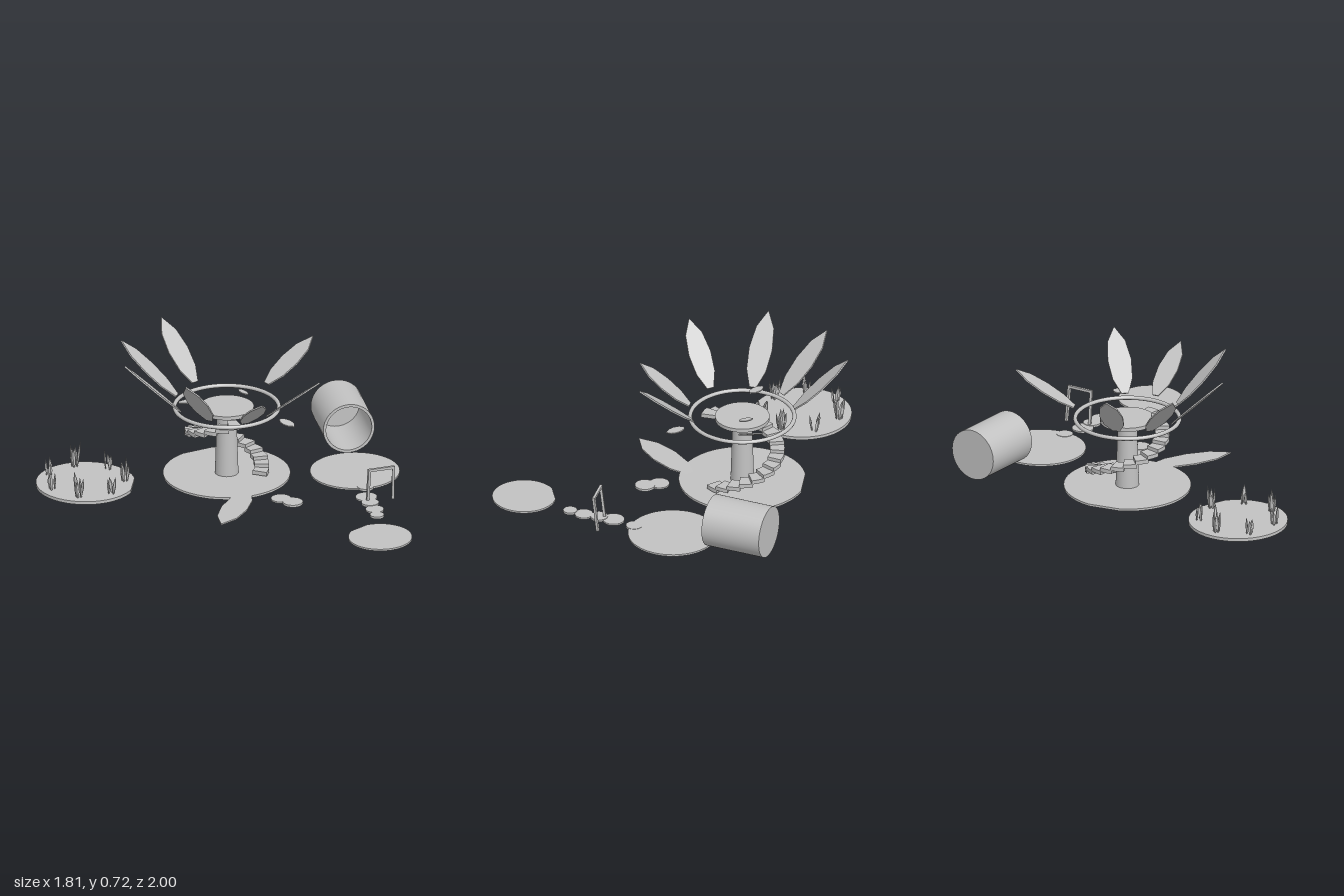
import * as THREE from 'three';
import { toCreasedNormals } from 'three/addons/utils/BufferGeometryUtils.js';

const grey = new THREE.MeshStandardMaterial({ color: 0xc2c2c2 });
grey.name = 'plain grey';
const V = (x, y, z) => new THREE.Vector3(x, y, z);
const rad = THREE.MathUtils.degToRad;

export function createModel() {
  const root = new THREE.Group();
  root.name = 'lilyPadPark';

  function add(name, geo, x = 0, y = 0, z = 0, parent = root) {
    const mesh = new THREE.Mesh(geo, grey);
    mesh.name = name;
    mesh.position.set(x, y, z);
    parent.add(mesh);
    return mesh;
  }

  // Flat sector of a ring or disc, lying on y = 0; angles run from +x towards -z
  function sector(r0, r1, from, to, height, segments) {
    const s = new THREE.Shape();
    if (r0 > 0) {
      s.absarc(0, 0, r1, rad(from), rad(to), false);
      s.absarc(0, 0, r0, rad(to), rad(from), true);
    } else {
      s.moveTo(0, 0);
      s.absarc(0, 0, r1, rad(from), rad(to), false);
    }
    const geo = new THREE.ExtrudeGeometry(s, { depth: height, bevelEnabled: false, curveSegments: segments });
    return geo.rotateX(-Math.PI / 2);
  }

  // Pointed leaf plate running from base to tip
  function leaf(name, base, tip, width, thick = 0.008, parent = root) {
    const dir = tip.clone().sub(base);
    const len = dir.length();
    const half = [[0.15, 0], [0.42, 0.22], [0.5, 0.5], [0.38, 0.78]];
    const pts = [
      ...half.map(([a, b]) => new THREE.Vector2(a * width, b * len)),
      new THREE.Vector2(0, len),
      ...half.slice().reverse().map(([a, b]) => new THREE.Vector2(-a * width, b * len)),
    ];
    const geo = new THREE.ExtrudeGeometry(new THREE.Shape(pts), { depth: thick, bevelEnabled: false });
    geo.translate(0, 0, -thick / 2);
    const yAxis = dir.normalize();
    const xAxis = yAxis.clone().cross(V(0, 1, 0)).normalize();
    const zAxis = xAxis.clone().cross(yAxis);
    geo.applyMatrix4(new THREE.Matrix4().makeBasis(xAxis, yAxis, zAxis));
    return add(name, geo, base.x, base.y, base.z, parent);
  }

  // Square bar between two points
  function bar(name, a, b, w, parent) {
    const geo = new THREE.BoxGeometry(w, w, a.distanceTo(b) + w);
    const mid = a.clone().add(b).multiplyScalar(0.5);
    const m = add(name, geo, mid.x, mid.y, mid.z, parent);
    m.lookAt(b);
  }

  // Lily pads: three notched, one whole
  add('reedPad', sector(0, 0.26, -34, 292, 0.017, 48), -0.645, 0, -0.745);
  add('treePad', sector(0, 0.333, 89, 419, 0.012, 48), -0.02, 0, -0.33);
  add('frontPad', sector(0, 0.167, 110, 430, 0.01, 40), -0.02, 0, 0.825);
  add('barrelPad', new THREE.CylinderGeometry(0.235, 0.235, 0.01, 48), 0.48, 0.005, 0.117);

  // Stepping stones [x, z, radius]
  [[-0.045, 0.105, 0.053], [-0.035, 0.183, 0.053], [0.37, 0.265, 0.043], [0.375, 0.305, 0.043],
    [0.29, 0.4, 0.057], [0.25, 0.47, 0.046], [0.21, 0.545, 0.048], [0.165, 0.61, 0.037]]
    .forEach(([x, z, r], i) => {
      const h = 0.009 + (i % 2) * 0.003;
      add('steppingStone', new THREE.CylinderGeometry(r, r, h, 28), x, h / 2, z);
    });

  // Tower: stem, round deck and railing ring
  const tower = new THREE.Group();
  tower.name = 'tower';
  tower.position.set(-0.02, 0, -0.33);
  root.add(tower);
  add('stem', new THREE.CylinderGeometry(0.05, 0.062, 0.37, 32), 0, 0.19, 0, tower);
  add('deck', new THREE.CylinderGeometry(0.143, 0.143, 0.02, 40), 0, 0.38, 0, tower);
  const ring = new THREE.TorusGeometry(0.273, 0.011, 10, 64).rotateX(Math.PI / 2);
  add('railingRing', ring, 0, 0.386, 0, tower);

  // Spiral stair climbing from the front, round the model's left and back
  const steps = 18, sweep = 310 / steps;
  for (let i = 0; i < steps; i++) {
    const from = -65 + i * sweep;
    const y = 0.022 + (i / (steps - 1)) * 0.325;
    add('stairStep', sector(0.145, 0.222, from, from + sweep + 1.5, 0.022, 4), 0, y, 0, tower);
  }

  // Raised petals round the deck
  const petals = [
    [V(0.01, 0.43, -0.6), V(0.035, 0.705, -0.88), 0.125],
    [V(-0.16, 0.42, -0.56), V(-0.31, 0.695, -0.825), 0.125],
    [V(-0.27, 0.41, -0.425), V(-0.545, 0.705, -0.553), 0.125],
    [V(-0.27, 0.425, -0.2), V(-0.515, 0.712, -0.125), 0.125],
    [V(-0.14, 0.41, -0.07), V(-0.25, 0.62, 0.175), 0.115],
    [V(0.02, 0.41, -0.06), V(0.11, 0.66, 0.235), 0.125],
    [V(0.26, 0.435, -0.32), V(0.57, 0.62, -0.29), 0.125],
  ];
  petals.forEach(([a, b, w]) => leaf('petal', a, b, w));

  // Loose leaves near the deck and one lying on the ground
  leaf('groundLeaf', V(-0.12, 0.008, -0.07), V(-0.515, 0.012, 0.14), 0.14);
  leaf('smallDeckLeaf', V(0.1, 0.43, -0.295), V(0.1, 0.436, -0.368), 0.032, 0.006);
  leaf('smallRingLeaf', V(-0.235, 0.43, -0.47), V(-0.15, 0.445, -0.39), 0.05, 0.006);
  leaf('smallFrontLeaf', V(0.06, 0.39, -0.01), V(0.07, 0.375, 0.088), 0.06, 0.006);

  // Barrel lying on its side, open towards the front
  const L = 0.326, R = 0.137, Ri = 0.122;
  const profile = [[0, -L / 2], [R, -L / 2], [R, L / 2], [Ri, L / 2], [Ri, -L / 2 + 0.012], [0, -L / 2 + 0.012]]
    .map(([x, y]) => new THREE.Vector2(x, y));
  const barrel = add('barrel', toCreasedNormals(new THREE.LatheGeometry(profile, 48), 0.6), 0.704, 0.148, -0.206);
  barrel.quaternion.setFromUnitVectors(V(0, 1, 0), V(-0.536, 0, 0.844).normalize());

  // Gate over the stepping stones
  const gate = new THREE.Group();
  gate.name = 'gate';
  root.add(gate);
  const topA = V(0.252, 0.188, 0.462), topB = V(0.373, 0.188, 0.518);
  bar('gateBeam', topA, topB, 0.014, gate);
  bar('gatePost', topA, V(0.258, 0.007, 0.442), 0.014, gate);
  bar('gatePost', topB, V(0.386, 0.007, 0.5), 0.014, gate);

  // Reed clumps on the back pad [x, z, height]
  [[-0.725, -0.935, 0.12], [-0.55, -0.925, 0.168], [-0.84, -0.795, 0.125], [-0.445, -0.78, 0.125],
    [-0.81, -0.625, 0.155], [-0.49, -0.61, 0.15], [-0.655, -0.54, 0.12]]
    .forEach(([x, z, top], i) => {
      const clump = new THREE.Group();
      clump.name = 'reedClump';
      clump.position.set(x, 0.016, z);
      root.add(clump);
      const blades = top > 0.14 ? 5 : 3;
      for (let k = 0; k < blades; k++) {
        const a = i * 1.3 + (k * Math.PI * 2) / blades;
        const h = (top - 0.016) * (k === 0 ? 1 : 0.68 + 0.08 * (k % 3));
        const blade = new THREE.LatheGeometry(
          [[0, 0], [0.006, 0.05], [0.013, 0.45], [0.009, 0.72], [0, 1]].map(([r, y]) => new THREE.Vector2(r, y * h)), 5);
        blade.scale(1, 1, 0.5);
        const m = add('reedBlade', toCreasedNormals(blade, 0.3), Math.cos(a) * 0.014, 0, Math.sin(a) * 0.014, clump);
        m.rotation.set(Math.sin(a) * 0.14, -a + Math.PI / 2, -Math.cos(a) * 0.14);
      }
    });

  return root;
}
